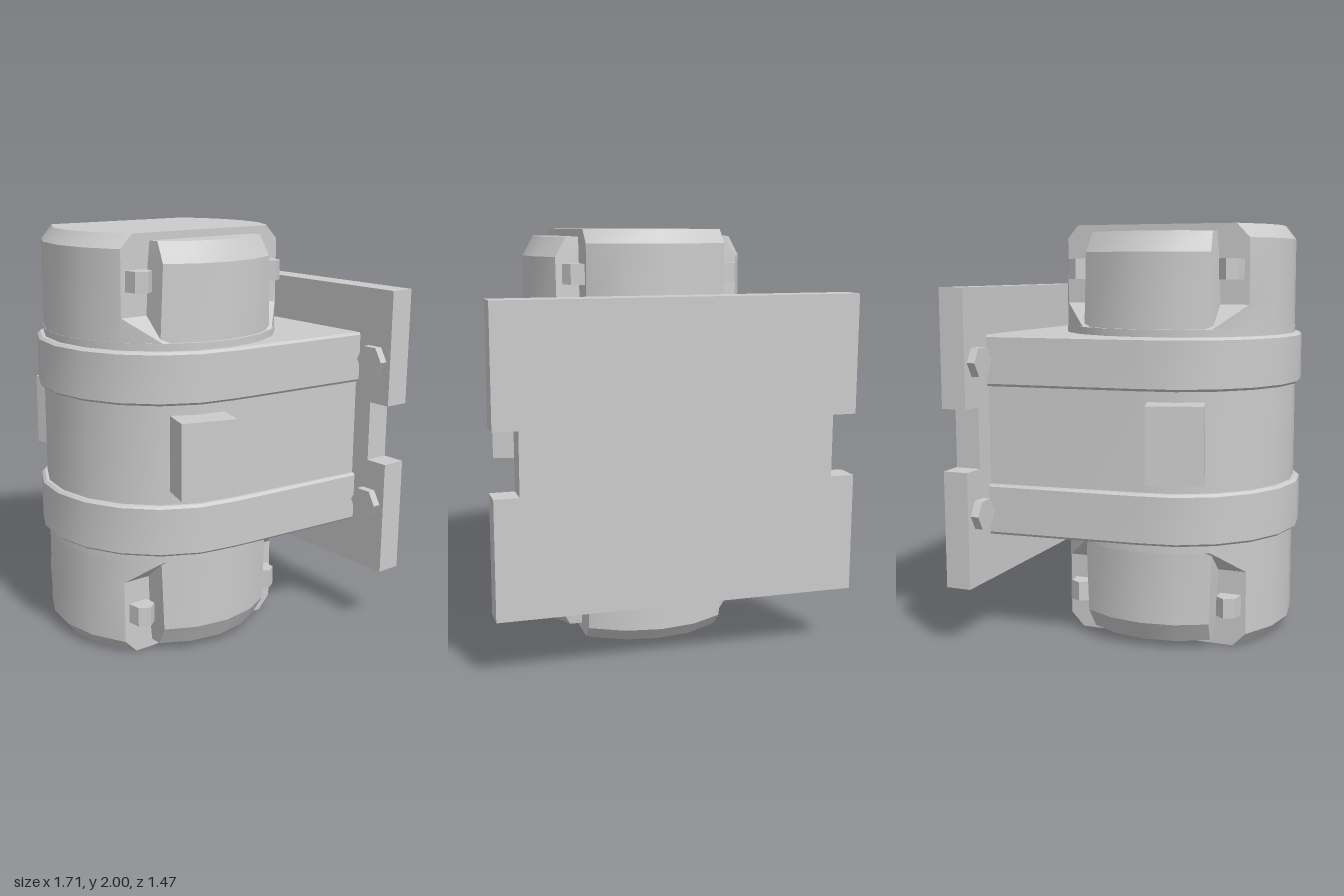
import * as THREE from 'three';
import { toCreasedNormals } from 'three/addons/utils/BufferGeometryUtils.js';

const CZ = 0.13; // z of the canister axis
const rad = THREE.MathUtils.degToRad;
const material = new THREE.MeshStandardMaterial({ color: 0xcccccc });

function mesh(name, geometry) {
  const m = new THREE.Mesh(geometry, material);
  m.name = name;
  return m;
}

// Joins convex [x, z] outlines stacked at heights y and caps both ends.
function loft(levels) {
  const pos = [], index = [];
  const n = levels[0].pts.length;
  for (const { y, pts } of levels) for (const [x, z] of pts) pos.push(x, y, z);
  for (let l = 0; l < levels.length - 1; l++) {
    for (let i = 0; i < n; i++) {
      const a = l * n + i, b = l * n + (i + 1) % n;
      index.push(a, b, b + n, a, b + n, a + n);
    }
  }
  const top = (levels.length - 1) * n;
  for (let i = 1; i < n - 1; i++) {
    index.push(0, i + 1, i);
    index.push(top, top + i, top + i + 1);
  }
  const g = new THREE.BufferGeometry();
  g.setAttribute('position', new THREE.Float32BufferAttribute(pos, 3));
  g.setIndex(index);
  return toCreasedNormals(g, rad(25));
}

// Rounded front running back along slightly flared sides to the plate.
function housingOutline(r, backX) {
  const pts = [[-backX, -0.62]];
  for (let d = -90; d <= 90; d += 18) {
    pts.push([r * Math.sin(rad(d)), CZ + r * Math.cos(rad(d))]);
  }
  pts.push([backX, -0.62]);
  return pts;
}

// Circle of radius r cut off at x = -w and x = w.
function cutCircle(r, w) {
  const a = Math.asin(w / r), b = Math.min(rad(36), a * 0.97);
  const front = [-a, -b, -rad(18), 0, rad(18), b, a]
    .map(t => [r * Math.sin(t), r * Math.cos(t)]);
  const back = front.map(([x, z]) => [-x, -z]);
  return [...front, ...back].map(([x, z]) => [x, z + CZ]);
}

// D-shaped outline of a side panel, half width h.
function panelOutline(r, h) {
  const a = Math.asin(h / r), pts = [[0.2, CZ + h]];
  for (let i = -2; i <= 2; i++) {
    pts.push([r * Math.cos(a * i / 2), CZ - r * Math.sin(a * i / 2)]);
  }
  pts.push([0.2, CZ - h]);
  return pts;
}

function createEnd(name) {
  const end = new THREE.Group();
  end.name = name;

  // Central shell, flared at its foot and bevelled at the cap
  end.add(mesh('endShell', loft([
    { y: 1.46, pts: cutCircle(0.57, 0.47) },
    { y: 1.52, pts: cutCircle(0.57, 0.47) },
    { y: 1.63, pts: cutCircle(0.57, 0.34) },
    { y: 1.935, pts: cutCircle(0.57, 0.34) },
    { y: 2, pts: cutCircle(0.52, 0.34) },
  ])));

  // Recessed side panels
  for (const side of [1, -1]) {
    const panel = mesh('sidePanel', loft([
      { y: 1.46, pts: panelOutline(0.555, 0.325) },
      { y: 1.87, pts: panelOutline(0.55, 0.31) },
      { y: 1.965, pts: panelOutline(0.5, 0.3) },
    ]));
    if (side < 0) {
      panel.rotation.y = Math.PI;
      panel.position.z = 2 * CZ;
    }
    end.add(panel);
  }

  // Latch tabs at the four shell edges
  const tab = [[0.3, 0.44], [0.36, 0.43], [0.405, 0.425], [0.435, 0.375], [0.4, 0.33], [0.3, 0.33]];
  for (const sx of [1, -1]) for (const sz of [1, -1]) {
    const pts = tab.map(([x, z]) => [sx * x, CZ + sz * z]);
    if (sx * sz < 0) pts.reverse();
    end.add(mesh('latchTab', loft([{ y: 1.745, pts }, { y: 1.84, pts }])));
  }
  return end;
}

export function createModel() {
  const model = new THREE.Group();
  model.name = 'wallMountedCanister';

  // Canister ends; the lower one is the upper one turned over
  const lower = createEnd('lowerEnd');
  lower.rotation.z = Math.PI;
  lower.position.y = 2;
  model.add(createEnd('upperEnd'), lower);

  // Canister body whose rims show past the bands
  const body = mesh('canisterBody', toCreasedNormals(
    new THREE.CylinderGeometry(0.572, 0.572, 1.04, 20), rad(25)));
  body.position.set(0, 1, CZ);
  model.add(body);

  // Housing and its two bevelled bands
  const core = housingOutline(0.575, 0.64);
  model.add(mesh('housing', loft([{ y: 0.7, pts: core }, { y: 1.3, pts: core }])));
  for (const y of [0.643, 1.363]) {
    const inner = housingOutline(0.59, 0.65), outer = housingOutline(0.604, 0.657);
    model.add(mesh('clampBand', loft([
      { y: y - 0.123, pts: inner },
      { y: y - 0.111, pts: outer },
      { y: y + 0.111, pts: outer },
      { y: y + 0.123, pts: inner },
    ])));
  }

  // Blocks on the housing flanks
  for (const side of [1, -1]) {
    const block = mesh('sideBlock', new THREE.BoxGeometry(0.24, 0.36, 0.265));
    block.position.set(side * 0.56, 1.01, 0.312);
    block.rotation.y = -side * rad(17.5);
    model.add(block);
  }

  // Back plate with a notch in each side
  const half = [[0.855, 0.295], [0.855, 0.855], [0.74, 0.855], [0.74, 1.15], [0.855, 1.15], [0.855, 1.71]];
  const outline = [...half, ...half.map(([x, y]) => [-x, y]).reverse()];
  const plateShape = new THREE.Shape(outline.map(([x, y]) => new THREE.Vector2(x, y)));
  const plate = mesh('backPlate', new THREE.ExtrudeGeometry(plateShape, { depth: 0.125, bevelEnabled: false }));
  plate.position.z = -0.735;
  model.add(plate);

  // Hexagonal bolts
  const boltGeometry = toCreasedNormals(new THREE.CylinderGeometry(0.077, 0.077, 0.06, 6), rad(25));
  boltGeometry.rotateY(Math.PI / 2).rotateX(Math.PI / 2);
  for (const x of [-0.755, 0.755]) for (const y of [0.643, 1.365]) {
    const bolt = mesh('bolt', boltGeometry);
    bolt.position.set(x, y, -0.6);
    model.add(bolt);
  }
  return model;
}
